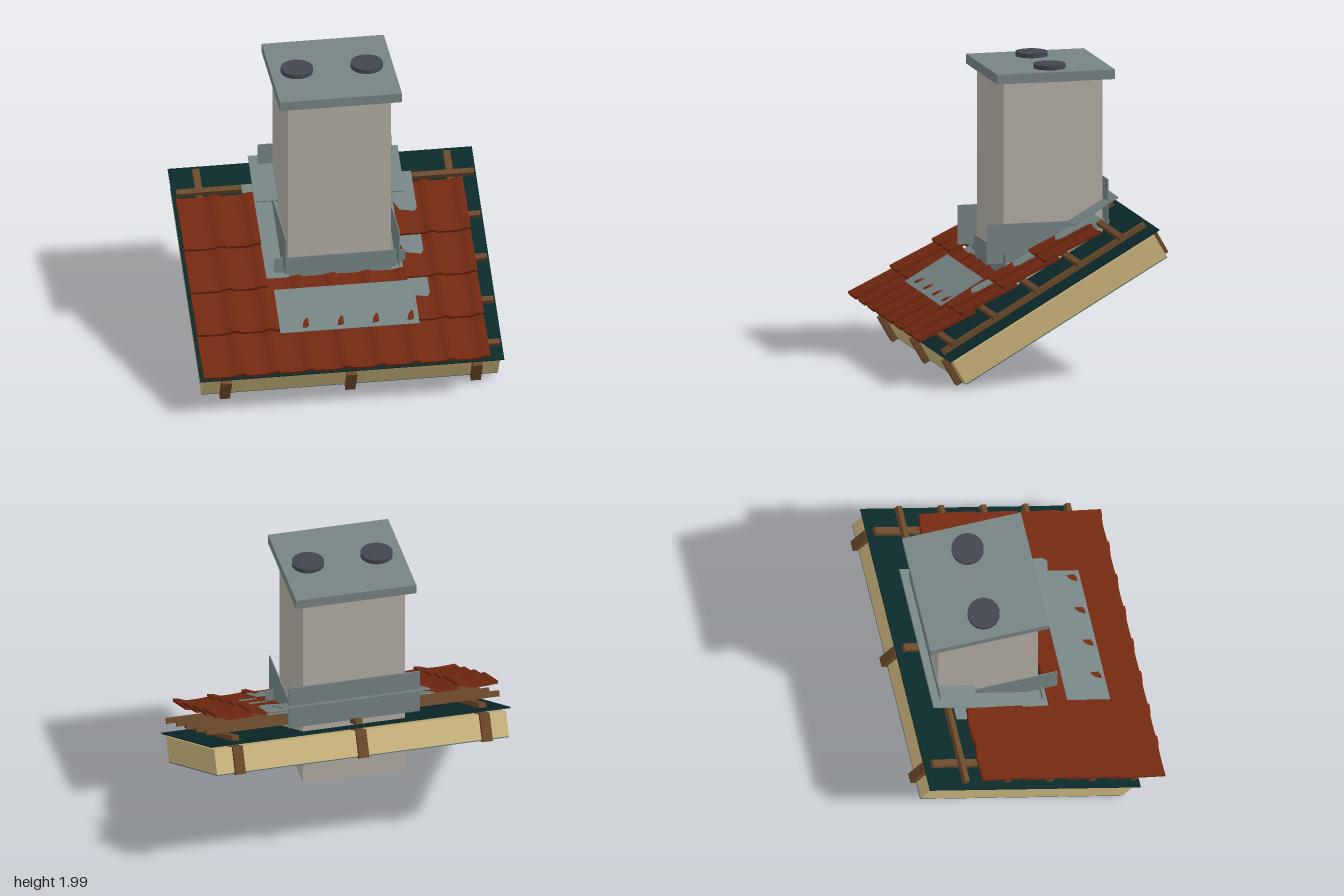
import * as THREE from 'three';

const mat = (name, color, side = THREE.FrontSide) => {
  const m = new THREE.MeshStandardMaterial({ color, side });
  m.name = name;
  return m;
};

export function createModel() {
  const model = new THREE.Group();
  model.name = 'chimneyOnRoof';
  const M = {
    render: mat('chimney render', 0xb4afa5),
    lead: mat('grey flashing', 0x778484, THREE.DoubleSide),
    pot: mat('dark flue', 0x42464f),
    tile: mat('red clay', 0x722810),
    wood: mat('brown timber', 0x6b492a),
    wool: mat('insulation', 0xcdb77e),
    felt: mat('dark membrane', 0x0c2a2b),
    liner: mat('teal liner', 0x4a6866),
  };
  const add = (parent, name, geo, material) => {
    const mesh = new THREE.Mesh(geo, material);
    mesh.name = name;
    parent.add(mesh);
    return mesh;
  };
  // Box given by its low and high limits on each axis
  const box = (parent, name, material, x0, x1, y0, y1, z0, z1) => {
    const mesh = add(parent, name, new THREE.BoxGeometry(x1 - x0, y1 - y0, z1 - z0), material);
    mesh.position.set((x0 + x1) / 2, (y0 + y1) / 2, (z0 + z1) / 2);
    return mesh;
  };
  const prism = (points, depth) => new THREE.ExtrudeGeometry(
    new THREE.Shape(points.map(([x, y]) => new THREE.Vector2(x, y))),
    { depth, bevelEnabled: false });

  // Roof: local y is the slope normal, local -z runs up the slope
  const roof = new THREE.Group();
  roof.name = 'roof';
  roof.rotation.x = Math.PI / 6;
  model.add(roof);

  box(roof, 'liner', M.liner, -0.975, 0.975, 0.302, 0.308, -1.09, 0.47);
  box(roof, 'insulation', M.wool, -0.975, 0.975, 0.308, 0.475, -1.09, 0.47);
  box(roof, 'membrane', M.felt, -1, 1, 0.492, 0.5, -1.132, 0.49);
  for (const x of [-0.825, 0, 0.825]) {
    box(roof, 'rafter', M.wood, x - 0.033, x + 0.033, 0.295, 0.479, -1.13, 0.51);
    box(roof, 'counterBatten', M.wood, x - 0.023, x + 0.023, 0.515, 0.547, -1.09, 0.479);
  }
  for (let i = 0; i < 5; i++) {
    const z = 0.404 - i * 0.325;
    box(roof, 'batten', M.wood, -0.98, 0.975, 0.56, 0.598, z - 0.018, z + 0.018);
  }

  // Tile: shallow pan with a raised roll on one edge, lapping the next tile
  const W = 0.23, LEN = 0.41, THICK = 0.02;
  const tileGeometry = (width) => {
    const top = [], bottom = [];
    for (let i = 0; i <= 14; i++) {
      const x = (i / 14) * (width + 0.014);
      const u = THREE.MathUtils.smoothstep(x / width, 0.66, 0.95);
      const drop = 0.006 * Math.sin(Math.PI * Math.min(x / width, 1));
      const y = 0.016 * u - drop;
      bottom.push([x, y]);
      top.unshift([x, y + THICK]);
    }
    return prism([...bottom, ...top], LEN).translate(0, 0, -LEN);
  };
  const fullTile = tileGeometry(W - 0.001);
  const edgeTile = tileGeometry(0.26);
  for (let row = 0; row < 4; row++) {
    const course = new THREE.Group();
    course.name = 'tileCourse';
    course.position.set(0, 0.668, 0.574 - row * 0.325);
    course.rotation.x = -0.08;
    roof.add(course);
    for (let col = 0; col < 8; col++) {
      if (row > 1 && col > 1 && col < 6) continue; // opening for the chimney
      const tile = add(course, 'tile', col ? fullTile : edgeTile, M.tile);
      tile.position.x = col ? -0.74 + (col - 1) * W : -1;
    }
    // Flashing patch showing over the head of each course on the left side
    if (row > 0) {
      const far = row === 3 ? 0.49 : 0.36;
      const patch = prism([[0.405, far], [0.405, 0.26], [0.44, 0.19], [0.535, 0.17],
        [0.555, 0.2], [0.555, far]], 0.006).rotateX(-Math.PI / 2);
      add(course, 'flashingPatch', patch.translate(0, 0.02, 0), M.lead);
    }
  }

  // Apron below the chimney, with the tile rolls poking through
  box(roof, 'apron', M.lead, -0.46, 0.455, 0.693, 0.699, -0.045, 0.285);
  for (let i = 0; i < 4; i++) {
    const spike = add(roof, 'tileRollTip', prism([[-0.016, 0], [0.016, 0], [0.012, 0.025], [0, 0.05],
      [-0.01, 0.025]], 0.008).rotateX(-Math.PI / 2), M.tile);
    spike.position.set(-0.295 + i * W, 0.697, 0.255);
  }

  // Side flashing lying on the slope and tray behind the chimney
  box(roof, 'sideFlashing', M.lead, 0.335, 0.555, 0.634, 0.64, -0.89, 0.06);
  const leftOuter = prism([[-0.56, 0.89], [-0.34, 0.89], [-0.34, -0.06], [-0.46, -0.1], [-0.5, 0.0],
    [-0.56, 0.1]], 0.006).rotateX(-Math.PI / 2).translate(0, 0.634, 0);
  add(roof, 'sideFlashing', leftOuter, M.lead);
  box(roof, 'backTray', M.lead, -0.495, 0.49, 0.677, 0.685, -1.076, -0.726);

  // Upright flashing around the shaft
  for (const x of [-0.37, 0.376]) {
    const side = prism([[0.265, 0.705], [0.265, 0.965], [-0.56, 0.965], [-0.56, 0.94],
      [-0.12, 0.705]], 0.006).rotateY(-Math.PI / 2).translate(x, 0, 0);
    add(model, 'sideUpstand', side, M.lead);
  }
  box(model, 'backUpstand', M.lead, -0.44, 0.44, 0.93, 1.24, -0.539, -0.531);
  const front = prism([[-0.365, 0.62], [0.365, 0.62], [0.365, 0.665], [0.43, 0.69], [0.43, 0.77],
    [-0.43, 0.77], [-0.43, 0.665], [-0.365, 0.665]], 0.008).translate(0, 0, 0.146);
  add(model, 'frontUpstand', front, M.lead);

  // Chimney shaft, cap slab and flues
  box(model, 'chimneyShaft', M.render, -0.343, 0.337, 0.475, 1.9, -0.525, 0.14);
  box(model, 'capSlab', M.lead, -0.403, 0.4, 1.893, 1.957, -0.592, 0.2);
  for (const x of [-0.232, 0.227]) {
    const flue = add(model, 'flue', new THREE.CylinderGeometry(0.105, 0.105, 0.05, 40), M.pot);
    flue.position.set(x, 1.961, -0.196);
  }
  return model;
}
